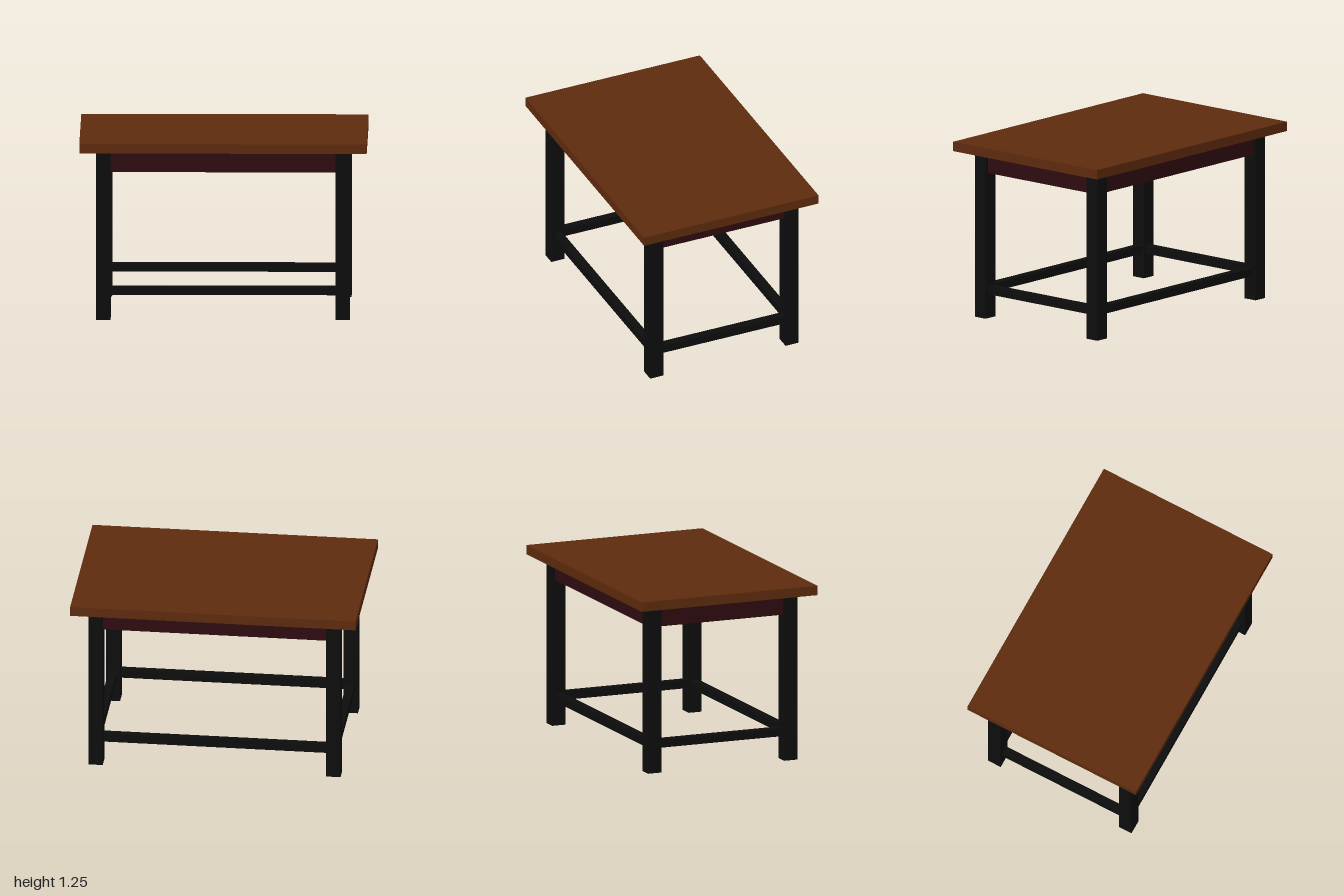
import * as THREE from 'three';

export function createModel() {
  const wood = new THREE.MeshStandardMaterial({ name: 'brown wood', color: 0x5e2b0e });
  const apronPaint = new THREE.MeshStandardMaterial({ name: 'dark maroon', color: 0x2e0c10 });
  const black = new THREE.MeshStandardMaterial({ name: 'black', color: 0x0d0d0d });

  const table = new THREE.Group();
  table.name = 'table';

  // Box from size and centre, with y given as its underside
  const box = (name, material, [w, h, d], [x, y, z]) => {
    const mesh = new THREE.Mesh(new THREE.BoxGeometry(w, h, d), material);
    mesh.name = name;
    mesh.position.set(x, y + h / 2, z);
    table.add(mesh);
  };

  const legX = 0.833, legZ = 0.517, legSize = 0.1, legHeight = 1.187;
  const bar = 0.058, barY = 0.172;

  // Top slab and the solid apron beneath it
  box('tableTop', wood, [2, 0.067, 1.333], [0, legHeight, 0]);
  box('apron', apronPaint, [1.72, 0.15, 1.09], [0, 1.037, 0]);

  for (const s of [-1, 1]) {
    // Legs
    for (const t of [-1, 1]) {
      const name = `${t > 0 ? 'front' : 'back'}${s > 0 ? 'Left' : 'Right'}Leg`;
      box(name, black, [legSize, legHeight, legSize], [s * legX, 0, t * legZ]);
    }
    // Low stretchers between the legs
    box(s > 0 ? 'frontStretcher' : 'backStretcher', black,
      [2 * legX - legSize, bar, bar], [0, barY, s * legZ]);
    box(s > 0 ? 'leftStretcher' : 'rightStretcher', black,
      [bar, bar, 2 * legZ - legSize], [s * legX, barY, 0]);
  }
  return table;
}
